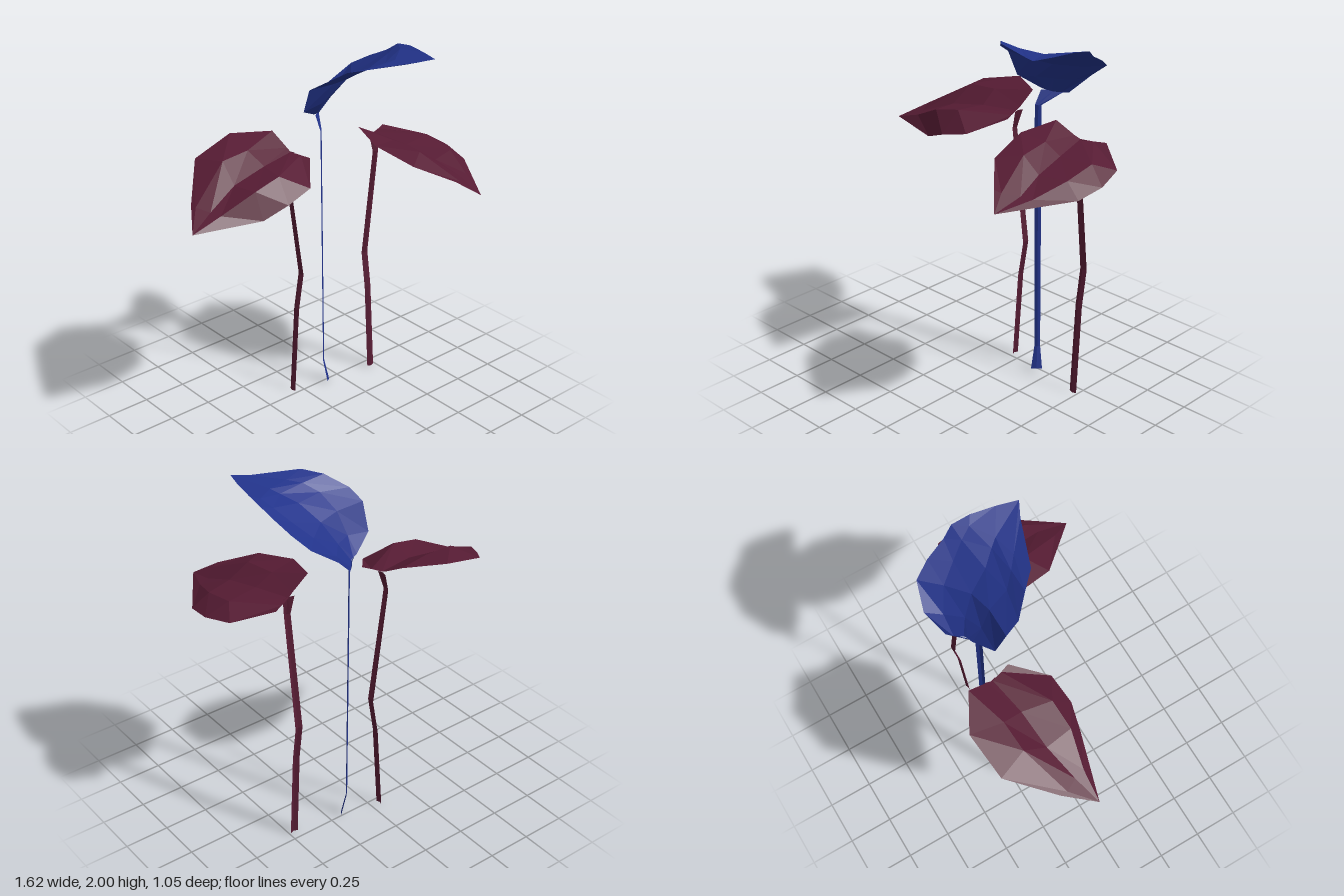
import * as THREE from 'three';

const maroon = new THREE.MeshStandardMaterial({ color: 0x571c34, flatShading: true, side: THREE.DoubleSide });
const blue = new THREE.MeshStandardMaterial({ color: 0x22338a, flatShading: true, side: THREE.DoubleSide });

// Faceted sheet through rows of points; every row has the same number of points
function sheet(name, rows, material) {
  const pos = [];
  const tri = (a, b, c) => pos.push(...a, ...b, ...c);
  for (let i = 0; i < rows.length - 1; i++) {
    for (let j = 0; j < rows[i].length - 1; j++) {
      const a = rows[i][j], b = rows[i][j + 1], c = rows[i + 1][j + 1], d = rows[i + 1][j];
      if (c !== d) tri(a, d, c);
      tri(a, c, b);
    }
  }
  const g = new THREE.BufferGeometry();
  g.setAttribute('position', new THREE.Float32BufferAttribute(pos, 3));
  g.computeVertexNormals();
  const mesh = new THREE.Mesh(g, material);
  mesh.name = name;
  return mesh;
}

// Flat stem: centre points [x, y, z, halfWidth], spread along (dx, dz), with a slight fold
function stem(name, points, dx, dz, fold, material) {
  const rows = points.map(([x, y, z, w]) => [
    [x - dx * w, y, z - dz * w],
    [x - dz * fold, y, z + dx * fold],
    [x + dx * w, y, z + dz * w],
  ]);
  return sheet(name, rows, material);
}

function plant(name, ...parts) {
  const g = new THREE.Group();
  g.name = name;
  g.add(...parts);
  return g;
}

export function createModel() {
  const model = new THREE.Group();
  model.name = 'leafyPlants';

  // Right plant: leaf reaching sideways, rows from base to tip, valley along the midrib
  const rightTip = [-0.81, 1.3, -0.12];
  const rightLeaf = sheet('rightLeaf', [
    [[-0.06, 1.565, -0.42], [-0.05, 1.5, -0.31], [-0.05, 1.485, -0.28], [-0.03, 1.48, -0.22], [-0.01, 1.475, -0.17]],
    [[-0.26, 1.57, -0.53], [-0.28, 1.535, -0.35], [-0.26, 1.475, -0.24], [-0.29, 1.48, -0.08], [-0.15, 1.4, 0]],
    [[-0.51, 1.505, -0.5], [-0.45, 1.525, -0.34], [-0.47, 1.435, -0.22], [-0.45, 1.445, -0.07], [-0.31, 1.36, 0.02]],
    [[-0.7, 1.375, -0.28], [-0.7, 1.375, -0.24], [-0.66, 1.36, -0.17], [-0.64, 1.355, -0.11], [-0.45, 1.305, -0.01]],
    Array(5).fill(rightTip),
  ], maroon);
  const rightStem = stem('rightStem', [
    [-0.05, 0, -0.29, 0.021], [-0.015, 0.52, -0.29, 0.021], [0.02, 0.73, -0.29, 0.021],
    [-0.07, 1.38, -0.29, 0.018], [-0.04, 1.485, -0.29, 0.03],
  ], 0, 1, 0.009, maroon);

  // Left plant: leaf reaching forward
  const leftTip = [0.565, 1.33, 0.525];
  const leftLeaf = sheet('leftLeaf', [
    [[0.33, 1.56, -0.17], [0.44, 1.5, -0.19], [0.47, 1.485, -0.2], [0.53, 1.48, -0.23], [0.59, 1.48, -0.26]],
    [[0.27, 1.53, 0.03], [0.42, 1.515, 0.01], [0.52, 1.465, 0.01], [0.7, 1.465, -0.02], [0.77, 1.42, -0.13]],
    [[0.32, 1.475, 0.27], [0.44, 1.5, 0.19], [0.55, 1.43, 0.2], [0.7, 1.43, 0.16], [0.81, 1.39, 0.03]],
    [[0.47, 1.4, 0.43], [0.51, 1.39, 0.42], [0.58, 1.375, 0.36], [0.64, 1.37, 0.34], [0.79, 1.36, 0.18]],
    Array(5).fill(leftTip),
  ], maroon);
  const leftStem = stem('leftStem', [
    [0.468, 0, -0.2, 0.023], [0.466, 0.52, -0.23, 0.022], [0.466, 0.73, -0.26, 0.022],
    [0.47, 1.38, -0.185, 0.02], [0.47, 1.485, -0.2, 0.035],
  ], 1, 0, 0.009, maroon);

  // Middle plant: taller, with a broad round leaf curling forward
  const middleLeaf = sheet('middleLeaf', [
    [[0.12, 1.65, -0.29], [0.15, 1.645, -0.3], [0.17, 1.64, -0.31], [0.2, 1.63, -0.35], [0.23, 1.63, -0.38]],
    [[0, 1.71, -0.23], [0.13, 1.73, -0.23], [0.22, 1.73, -0.27], [0.29, 1.72, -0.35], [0.34, 1.74, -0.43]],
    [[-0.01, 1.85, -0.17], [0.15, 1.845, -0.17], [0.27, 1.835, -0.2], [0.38, 1.825, -0.29], [0.47, 1.83, -0.39]],
    [[0.01, 1.9, -0.09], [0.17, 1.91, -0.06], [0.32, 1.91, -0.09], [0.44, 1.89, -0.2], [0.515, 1.885, -0.3]],
    [[0.1, 1.965, 0], [0.23, 1.955, 0], [0.38, 1.95, -0.02], [0.49, 1.95, -0.12], [0.545, 1.94, -0.19]],
    [[0.18, 1.985, 0.08], [0.29, 1.97, 0.05], [0.41, 1.97, 0.02], [0.52, 1.985, -0.06], [0.57, 1.985, -0.13]],
    [[0.36, 1.985, 0.14], [0.43, 1.99, 0.17], [0.51, 2, 0.21], [0.54, 2, 0.1], [0.565, 2, -0.03]],
  ], blue);
  const middleStem = stem('middleStem', [
    [0.167, 0.01, -0.233, 0.031], [0.15, 0.14, -0.255, 0.016],
    [0.133, 1.57, -0.25, 0.018], [0.173, 1.645, -0.33, 0.07],
  ], Math.SQRT1_2, -Math.SQRT1_2, 0.005, blue);

  model.add(
    plant('rightPlant', rightLeaf, rightStem),
    plant('leftPlant', leftLeaf, leftStem),
    plant('middlePlant', middleLeaf, middleStem),
  );
  return model;
}
